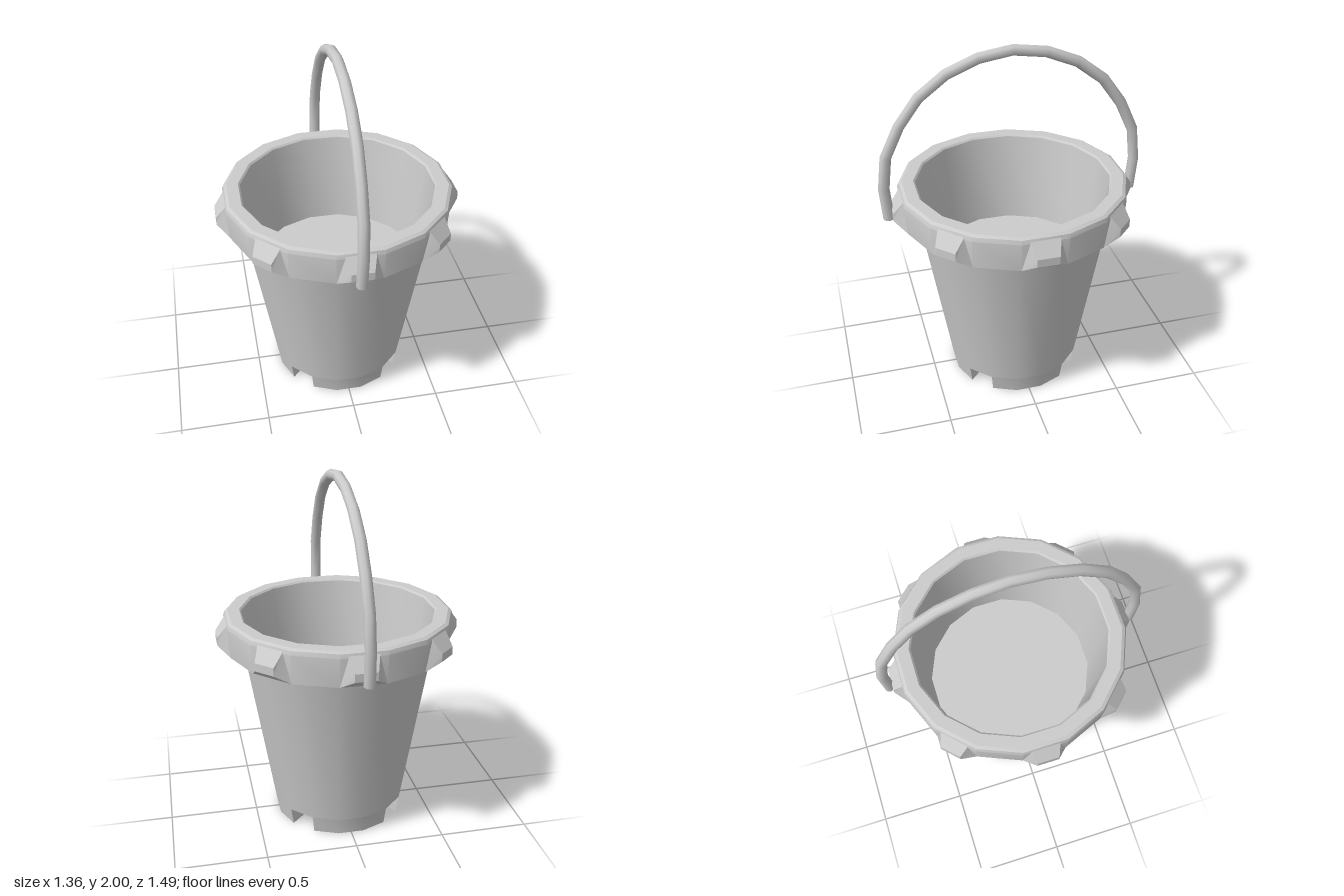
import * as THREE from 'three';
import { toCreasedNormals } from 'three/addons/utils/BufferGeometryUtils.js';

const SIDES = 16, PHASE = Math.PI / SIDES;
const BASE_R = 0.37, TOP_R = 0.545, TOP_Y = 1.04;
const NOTCH_H = 0.1, NOTCH_D = 0.12;
const wallRadius = (y) => BASE_R + (TOP_R - BASE_R) * y / TOP_Y;

export function createModel() {
  const model = new THREE.Group();
  model.name = 'bucket';
  const material = new THREE.MeshStandardMaterial({ color: 0xcccccc });

  const add = (name, geometry, parent = model) => {
    const mesh = new THREE.Mesh(geometry, material);
    mesh.name = name;
    parent.add(mesh);
    return mesh;
  };
  // Sixteen-sided turned part, smooth around and sharp at profile corners
  const turned = (profile) => toCreasedNormals(new THREE.LatheGeometry(
    profile.map(([r, y]) => new THREE.Vector2(r, y)), SIDES, PHASE), 0.5);

  // Tapered outer wall, closed underneath to roof the notches
  add('outerWall', turned([
    [0, NOTCH_H], [wallRadius(NOTCH_H), NOTCH_H], [TOP_R, TOP_Y],
  ]));

  // Thick rim, inner wall and floor
  add('rim', turned([
    [TOP_R - 0.01, TOP_Y], [0.63, TOP_Y], [0.64, 1.2], [0.632, 1.222],
    [0.615, 1.232], [0.55, 1.232], [0.54, 1.222],
  ]));
  add('innerWall', turned([[0.54, 1.222], [0.47, 0.7]]));
  add('innerFloor', turned([[0.47, 0.7], [0, 0.7]]));

  // Foot with one whole facet notched out on every diagonal
  const outline = [];
  for (let i = 0; i < SIDES; i++) {
    const a = PHASE + i * 2 * PHASE;
    const mid = a + PHASE;
    const corner = (angle) => new THREE.Vector2(Math.cos(angle), Math.sin(angle)).multiplyScalar(BASE_R);
    outline.push(corner(a));
    if (i % 4 === 1) {
      const inward = new THREE.Vector2(Math.cos(mid), Math.sin(mid)).multiplyScalar(-NOTCH_D);
      outline.push(corner(a).add(inward), corner(a + 2 * PHASE).add(inward));
    }
  }
  const foot = new THREE.ExtrudeGeometry(new THREE.Shape(outline), { depth: NOTCH_H, bevelEnabled: false });
  foot.rotateX(-Math.PI / 2);
  const fp = foot.attributes.position;
  for (let i = 0; i < fp.count; i++) {
    const s = wallRadius(fp.getY(i)) / BASE_R;
    fp.setXYZ(i, fp.getX(i) * s, fp.getY(i), fp.getZ(i) * s);
  }
  add('notchedFoot', toCreasedNormals(foot, 0.5));

  // Faceted studs on every other face of the rim
  const studGeometry = new THREE.BoxGeometry(1, 1, 1);
  const sp = studGeometry.attributes.position;
  for (let i = 0; i < sp.count; i++) {
    const side = Math.sign(sp.getX(i)), top = sp.getY(i) > 0, front = sp.getZ(i) > 0;
    const halfWidth = front ? 0.06 : top ? 0.08 : 0.123;
    const y = front ? (top ? 1.135 : 1.09) : (top ? 1.21 : 1.04);
    sp.setXYZ(i, side * halfWidth, y, front ? 0.68 : top ? 0.625 : 0.617);
  }
  studGeometry.computeVertexNormals();
  const studs = new THREE.Group();
  studs.name = 'rimStuds';
  model.add(studs);
  for (let i = 0; i < 8; i++) add('rimStud', studGeometry, studs).rotation.y = i * Math.PI / 4;

  // Arched carrying handle, leaning very slightly
  const half = [[0.697, 1.072], [0.712, 1.255], [0.69, 1.44], [0.61, 1.61],
    [0.505, 1.755], [0.365, 1.865], [0.19, 1.94]];
  const lean = (y) => -0.01 * (1.97 - y) / 0.9;
  const path = [
    ...half.map(([z, y]) => new THREE.Vector3(lean(y), y, z)),
    new THREE.Vector3(0, 1.969, 0),
    ...half.slice().reverse().map(([z, y]) => new THREE.Vector3(lean(y), y, -z)),
  ];
  const curve = new THREE.CatmullRomCurve3(path);
  const TUBE_R = 0.031;
  add('handle', new THREE.TubeGeometry(curve, 14, TUBE_R, 8));
  for (const t of [0, 1]) {
    const cap = add('handleEnd', new THREE.CircleGeometry(TUBE_R, 8));
    const out = curve.getTangent(t).multiplyScalar(t ? 1 : -1);
    cap.position.copy(curve.getPoint(t));
    cap.quaternion.setFromUnitVectors(new THREE.Vector3(0, 0, 1), out);
  }
  return model;
}
